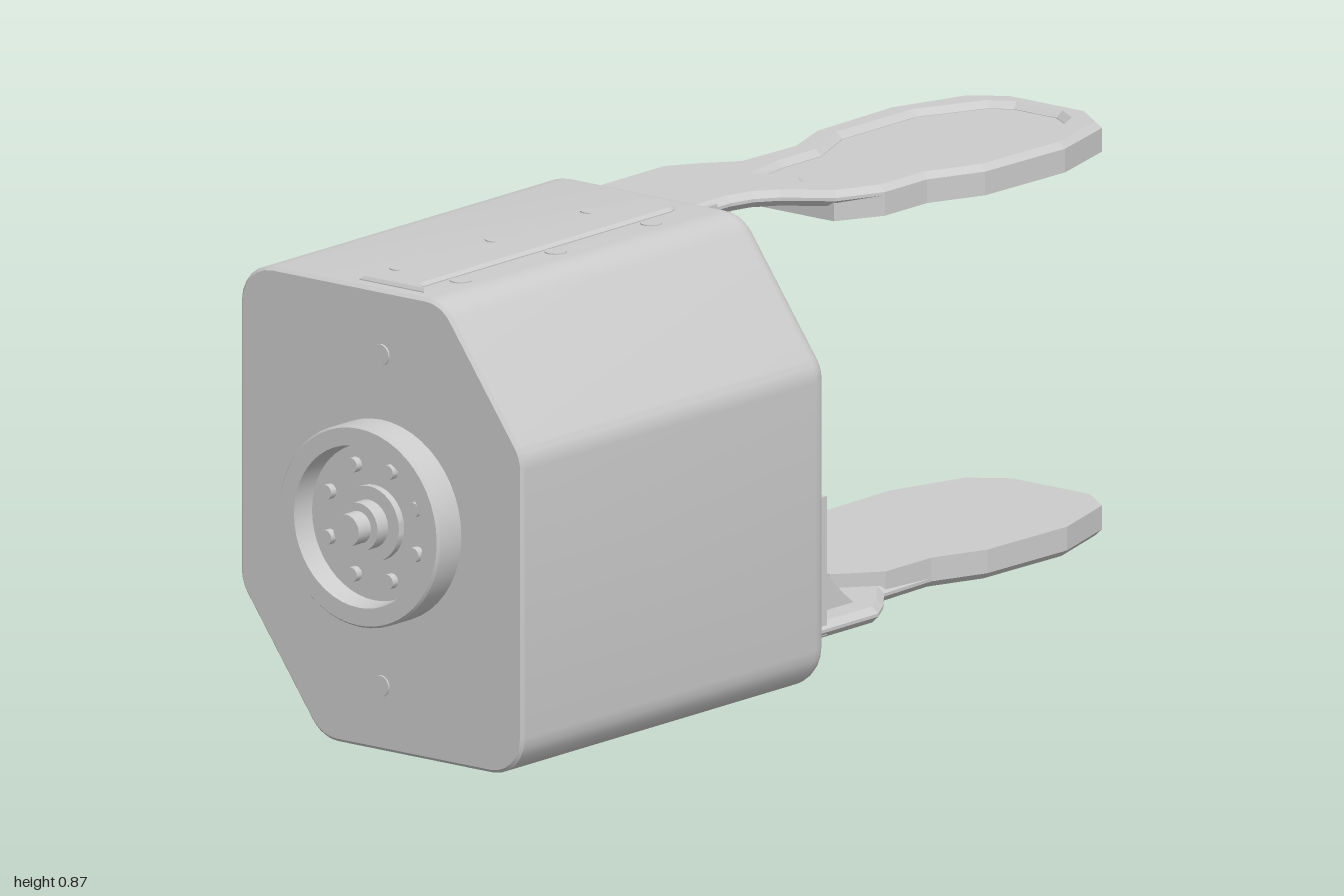
import * as THREE from 'three';
import { toCreasedNormals } from 'three/addons/utils/BufferGeometryUtils.js';

const MID = 0.437; // height of the housing's half-turn axis
const FINGER_MID = 0.455; // height halfway between the fingers
const FLOOR = -0.2; // depth of the front slot
const grey = new THREE.MeshStandardMaterial({ color: 0xcccccc, side: THREE.DoubleSide });

function add(parent, name, geometry, x = 0, y = 0, z = 0) {
  const mesh = new THREE.Mesh(geometry, grey);
  mesh.name = name;
  mesh.position.set(x, y, z);
  parent.add(mesh);
  return mesh;
}

// Box given by its limits on each axis
function box(parent, name, [x0, x1], [y0, y1], [z0, z1]) {
  return add(parent, name, new THREE.BoxGeometry(x1 - x0, y1 - y0, z1 - z0),
    (x0 + x1) / 2, (y0 + y1) / 2, (z0 + z1) / 2);
}

// Cylinder or cone lying along x
function pin(parent, name, r, x0, x1, y, z, sides = 16, tip = r) {
  const g = new THREE.CylinderGeometry(r, tip, x1 - x0, sides).rotateZ(Math.PI / 2);
  return add(parent, name, g, (x0 + x1) / 2, y, z);
}

const toShape = pts => new THREE.Shape(pts.map(p => new THREE.Vector2(p[0], p[1])));

// Plan outline in (x, z) extruded downwards from a given height
function slab(parent, name, shape, top, thick, bevel = 0) {
  const g = new THREE.ExtrudeGeometry(shape, {
    depth: thick - 2 * bevel, bevelEnabled: bevel > 0, bevelSize: bevel,
    bevelThickness: bevel, bevelOffset: -bevel, bevelSegments: 1,
  });
  return add(parent, name, g.rotateX(Math.PI / 2), 0, top - bevel, 0);
}

// Skin through closed rings of [u, y], each at its own x (u = -z)
function skin(rings, xs) {
  const pos = [], idx = [], n = rings[0].length;
  rings.forEach((ring, i) => ring.forEach(([u, y]) => pos.push(xs[i], y, -u)));
  for (let i = 0; i < rings.length - 1; i++) {
    for (let j = 0; j < n; j++) {
      const a = i * n + j, b = i * n + (j + 1) % n;
      idx.push(a, b, b + n, a, b + n, a + n);
    }
  }
  const g = new THREE.BufferGeometry();
  g.setAttribute('position', new THREE.Float32BufferAttribute(pos, 3));
  g.setIndex(idx);
  return toCreasedNormals(g, 0.6);
}

// Housing section: a chamfered block with rounded corners, shrunk by inset
const hull = [[-0.33, 0.008], [0.142, 0.008], [0.33, 0.269], [0.33, 0.866], [-0.142, 0.866], [-0.33, 0.605]];
function section(inset) {
  const r = 0.075, pts = [], n = hull.length;
  const normal = (a, b) => new THREE.Vector2(b[1] - a[1], a[0] - b[0]).normalize();
  hull.forEach((v, i) => {
    const n1 = normal(hull[(i + n - 1) % n], v), n2 = normal(v, hull[(i + 1) % n]);
    const k = r / (1 + n1.dot(n2));
    const cx = v[0] - k * (n1.x + n2.x), cy = v[1] - k * (n1.y + n2.y);
    const turn = Math.acos(n1.dot(n2)), start = n1.angle();
    for (let s = 0; s <= 6; s++) {
      const t = start + turn * s / 6;
      pts.push([cx + (r - inset) * Math.cos(t), cy + (r - inset) * Math.sin(t)]);
    }
  });
  return pts;
}

function housing(parent) {
  const round = 0.05, front = -0.02;
  const rings = [section(0.006), section(0)], xs = [-0.9, -0.894];
  for (let s = 0; s <= 6; s++) {
    const t = s / 6 * Math.PI / 2;
    rings.push(section(round * (1 - Math.cos(t))));
    xs.push(front - round + round * Math.sin(t));
  }
  add(parent, 'housingShell', skin(rings, xs));
  const cap = shape => new THREE.ShapeGeometry(shape).rotateY(Math.PI / 2);
  add(parent, 'housingBack', cap(toShape(rings[0])), -0.9);
  // Stepped slot in the front for the two carriages
  const half = [[-0.16, 0.068], [0, 0.068], [0, 0.13], [0.02, 0.155], [0.16, 0.155]];
  const slot = [...half, ...half.map(([u, y]) => [-u, 2 * MID - y])];
  const face = toShape(rings.at(-1));
  face.holes.push(toShape(slot));
  add(parent, 'housingFront', cap(face), front);
  add(parent, 'slotWalls', skin([slot, slot].map(r => [...r].reverse()), [FLOOR, front]));
  add(parent, 'slotFloor', cap(toShape(slot)), FLOOR);
}

// Round coupling flange on the back
function coupling(parent) {
  const g = new THREE.Group();
  g.name = 'coupling';
  parent.add(g);
  const profile = [[0, 0.035], [0.07, 0.035], [0.07, 0.02], [0.145, 0.02], [0.15, 0.065],
    [0.183, 0.065], [0.187, 0.06], [0.187, 0]];
  const lathe = new THREE.LatheGeometry(profile.map(p => new THREE.Vector2(...p)).reverse(), 48);
  add(g, 'flange', toCreasedNormals(lathe.rotateZ(Math.PI / 2), 0.5), -0.9, MID);
  pin(g, 'hub', 0.045, -0.965, -0.93, MID, 0, 24);
  pin(g, 'spigot', 0.03, -1, -0.96, MID, 0, 24);
  for (let i = 0; i < 8; i++) {
    const t = (i + 0.5) * Math.PI / 4;
    pin(g, 'flangeBolt', 0.014, -0.935, -0.915, MID + 0.11 * Math.sin(t), 0.11 * Math.cos(t), 12);
  }
}

function finger() {
  const g = new THREE.Group();
  // Arm and raised frame around a pocket on the outer face
  const blade = [[0.46, -0.165], [0.57, -0.205], [0.79, -0.21], [0.95, -0.16], [1, -0.09],
    [1, 0.09], [0.95, 0.16], [0.79, 0.205], [0.57, 0.2], [0.46, 0.155], [0.34, 0.155]];
  const arm = toShape([[-0.01, -0.255], [0.2, -0.255], [0.25, -0.225], [0.32, -0.17], ...blade,
    [0.25, 0.115], [0.19, 0.035], [0.15, 0.005], [0.1, -0.008], [-0.01, -0.008]]);
  arm.holes.push(toShape([[0.27, -0.085], [0.31, -0.01], [0.28, 0.02], [0.28, 0.08], [0.36, 0.1], [0.47, 0.095],
    [0.59, 0.14], [0.8, 0.145], [0.93, 0.09], [0.955, 0.05], [0.955, -0.05], [0.93, -0.09],
    [0.8, -0.15], [0.59, -0.15], [0.47, -0.1], [0.36, -0.1]]));
  slab(g, 'fingerFrame', arm, 0.84, 0.03, 0.012);
  // Gripping pad on the inner face
  slab(g, 'fingerPad', toShape([[0.25, -0.1], [0.33, -0.165], ...blade, [0.25, 0.11]]), 0.827, 0.043);
  // Mounting plate with hex sockets holding the screws
  box(g, 'mountingPlateBack', [-0.01, 0.03], [0.577, 0.835], [-0.25, -0.005]);
  const plate = toShape([[0.005, 0.577], [0.25, 0.577], [0.25, 0.835], [0.005, 0.835]]);
  for (const [u, y] of [[0.04, 0.71], [0.22, 0.71], [0.04, 0.603], [0.13, 0.603], [0.22, 0.603]]) {
    const hex = new THREE.Path();
    for (let i = 0; i < 6; i++) {
      const t = i * Math.PI / 3;
      hex[i ? 'lineTo' : 'moveTo'](u + 0.024 * Math.cos(t), y + 0.024 * Math.sin(t));
    }
    plate.holes.push(hex);
    pin(g, 'mountingScrew', 0.022, 0.03, 0.05, y, -u, 4, 0.013);
  }
  const plateGeo = new THREE.ExtrudeGeometry(plate, { depth: 0.03, bevelEnabled: false });
  add(g, 'mountingPlateFront', plateGeo.rotateY(Math.PI / 2), 0.03);
  // Curved ribs bracing the arm
  const rib = new THREE.Shape();
  rib.moveTo(0.05, 0.82);
  rib.lineTo(0.05, 0.6);
  rib.lineTo(0.062, 0.6);
  rib.quadraticCurveTo(0.085, 0.73, 0.2, 0.81);
  rib.lineTo(0.2, 0.82);
  const ribGeo = new THREE.ExtrudeGeometry(rib, { depth: 0.034, bevelEnabled: false, curveSegments: 8 });
  for (const z of [-0.1, -0.197]) add(g, 'rib', ribGeo, 0, 0, z);
  // Link running back into the slot
  box(g, 'carriageLink', [FLOOR + 0.01, -0.005], [0.62, 0.76], [-0.12, -0.03]);
  return g;
}

// Housing fittings that repeat after a half turn about the x axis
function fittings() {
  const g = new THREE.Group();
  // Guide rail with its carriage
  box(g, 'guideRail', [FLOOR, -0.08], [0.16, 0.715], [0.058, 0.075]);
  box(g, 'railCarriage', [-0.13, -0.04], [0.445, 0.62], [0.056, 0.096]);
  pin(g, 'railScrew', 0.01, FLOOR, -0.07, 0.71, 0.04);
  box(g, 'slotStep', [FLOOR, -0.15], [0.155, 0.39], [0.1, 0.16]);
  // Cover strip with a rounded end, and its screws
  const strip = toShape([[-0.87, 0.075], [-0.87, -0.075], [-0.84, -0.048]]);
  strip.lineTo(-0.14, -0.046);
  strip.absarc(-0.14, 0, 0.046, -Math.PI / 2, Math.PI / 2);
  strip.lineTo(-0.84, 0.048);
  slab(g, 'coverStrip', strip, 0.874, 0.02, 0.006);
  for (const x of [-0.76, -0.49, -0.22]) {
    for (const z of [-0.07, 0.07])
      add(g, 'coverScrew', new THREE.CylinderGeometry(0.02, 0.02, 0.01, 16), x, 0.863, z);
  }
  pin(g, 'backScrew', 0.02, -0.904, -0.89, 0.745, 0);
  return g;
}

// Upper part plus a copy turned half way round the x axis at height mid
function pair(parent, name, make, mid) {
  const upper = make(), lower = make();
  upper.name = 'upper' + name;
  lower.name = 'lower' + name;
  lower.rotation.x = Math.PI;
  lower.position.y = 2 * mid;
  parent.add(upper, lower);
}

export function createModel() {
  const model = new THREE.Group();
  model.name = 'parallelGripper';
  housing(model);
  coupling(model);
  pair(model, 'Finger', finger, FINGER_MID);
  pair(model, 'Fittings', fittings, MID);
  return model;
}
